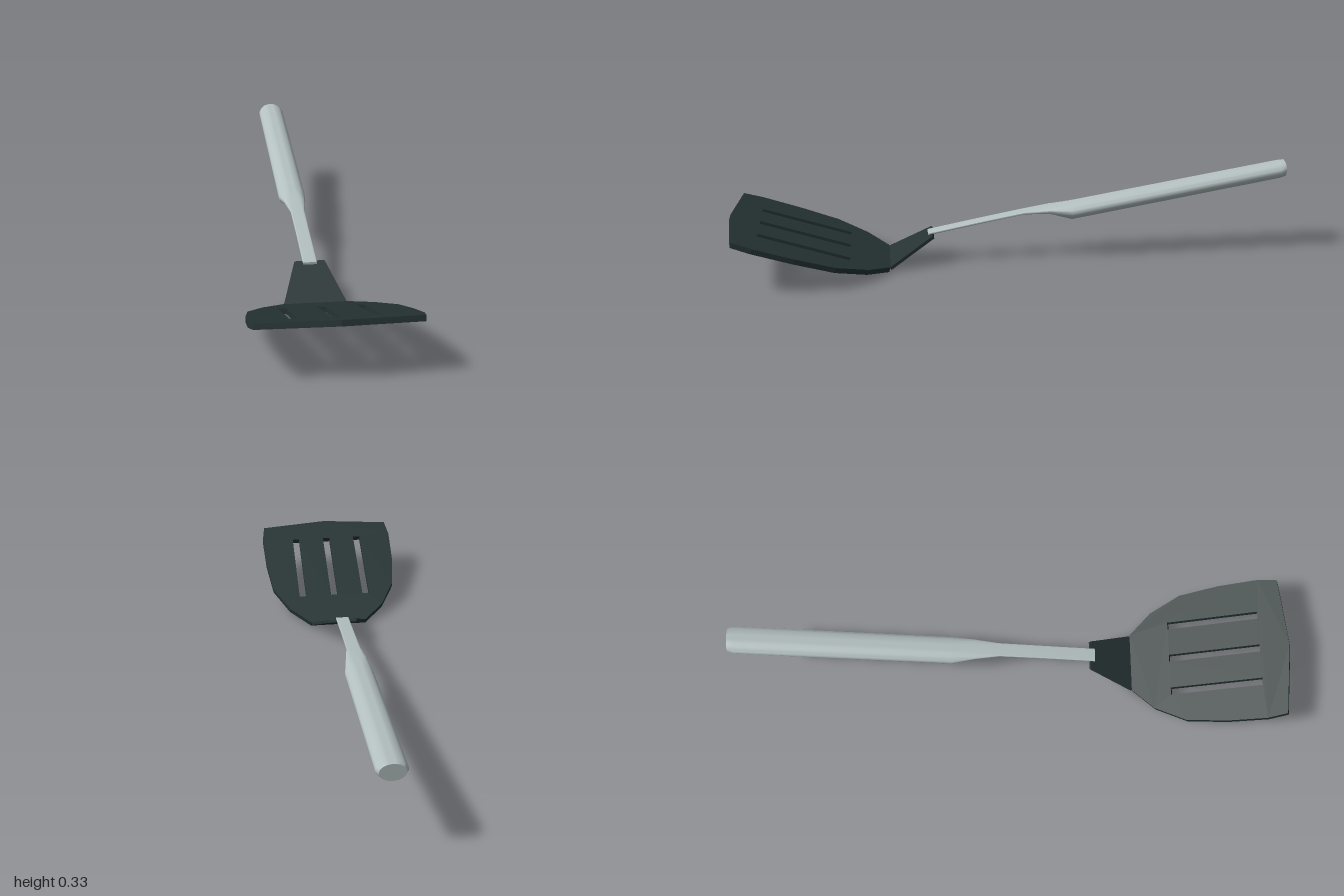
import * as THREE from 'three';
import { toCreasedNormals } from 'three/addons/utils/BufferGeometryUtils.js';

// Flat plate: half outline of [x, distance], mirrored, extruded downward,
// then tilted by its slope and placed with its top surface starting at (y, z)
function plate(half, slots, thickness, slope, y, z) {
  const pts = half.map(([x, s]) => new THREE.Vector2(x, s));
  const mirrored = half.filter(([x]) => x > 0).reverse().map(([x, s]) => new THREE.Vector2(-x, s));
  const shape = new THREE.Shape([...pts, ...mirrored]);
  for (const [cx, w, s0, s1] of slots) {
    shape.holes.push(new THREE.Path([[-w, s0], [-w, s1], [w, s1], [w, s0]]
      .map(([x, s]) => new THREE.Vector2(cx + x, s))));
  }
  const g = new THREE.ExtrudeGeometry(shape, { depth: thickness, bevelEnabled: false });
  g.rotateX(Math.PI / 2 - slope);
  g.translate(0, y, z);
  return g;
}

// Loft of superellipse sections [z, top, bottom, halfWidth, power], front to back
function loft(sections, sides) {
  const pos = [], idx = [];
  const bend = (v, n) => Math.sign(v) * Math.pow(Math.abs(v), 2 / n);
  for (const [z, top, bottom, w, n] of sections) {
    for (let i = 0; i < sides; i++) {
      const a = (i / sides) * Math.PI * 2;
      pos.push(w * bend(Math.cos(a), n), (top + bottom) / 2 + (top - bottom) / 2 * bend(Math.sin(a), n), z);
    }
  }
  const rows = sections.length;
  for (let r = 0; r < rows - 1; r++) {
    for (let i = 0; i < sides; i++) {
      const j = (i + 1) % sides, a = r * sides, b = a + sides;
      idx.push(a + i, b + j, a + j, a + i, b + i, b + j);
    }
  }
  // End caps
  const last = (rows - 1) * sides;
  for (let i = 1; i < sides - 1; i++) {
    idx.push(0, i, i + 1, last, last + i + 1, last + i);
  }
  const g = new THREE.BufferGeometry();
  g.setAttribute('position', new THREE.Float32BufferAttribute(pos, 3));
  g.setIndex(idx);
  return toCreasedNormals(g, 0.6);
}

export function createModel() {
  const nylon = new THREE.MeshStandardMaterial({ color: 0x263333 });
  nylon.name = 'dark nylon';
  const steel = new THREE.MeshStandardMaterial({ color: 0xb4c0c0 });
  steel.name = 'brushed steel';

  const group = new THREE.Group();
  group.name = 'spatula';
  const add = (name, geometry, material) => {
    const mesh = new THREE.Mesh(geometry, material);
    mesh.name = name;
    group.add(mesh);
  };

  // Slotted blade rising toward the front edge
  const outline = [[0.108, 0], [0.185, 0.081], [0.242, 0.195], [0.26, 0.341],
    [0.265, 0.487], [0.255, 0.558], [0, 0.584]];
  const slots = [-0.127, 0, 0.127].map((x) => [x, 0.0135, 0.145, 0.478]);
  add('blade', plate(outline, slots, 0.019, 0.313, 0.0181, 0.4382), nylon);

  // Tapered neck dropping from the handle to the blade
  add('neck', plate([[0.052, 0], [0.106, 0.181]], [], 0.011, -0.536, 0.109, 0.285), nylon);

  // Handle: flat shank swelling into an oval grip
  add('handle', loft([
    [0.3, 0.109, 0.101, 0.024, 10],
    [0.1, 0.148, 0.14, 0.024, 10],
    [-0.05, 0.176, 0.168, 0.025, 8],
    [-0.14, 0.191, 0.166, 0.038, 3],
    [-0.22, 0.204, 0.14, 0.05, 2],
    [-0.98, 0.332, 0.271, 0.05, 2],
    [-1, 0.335, 0.275, 0.042, 2],
  ], 32), steel);

  return group;
}
